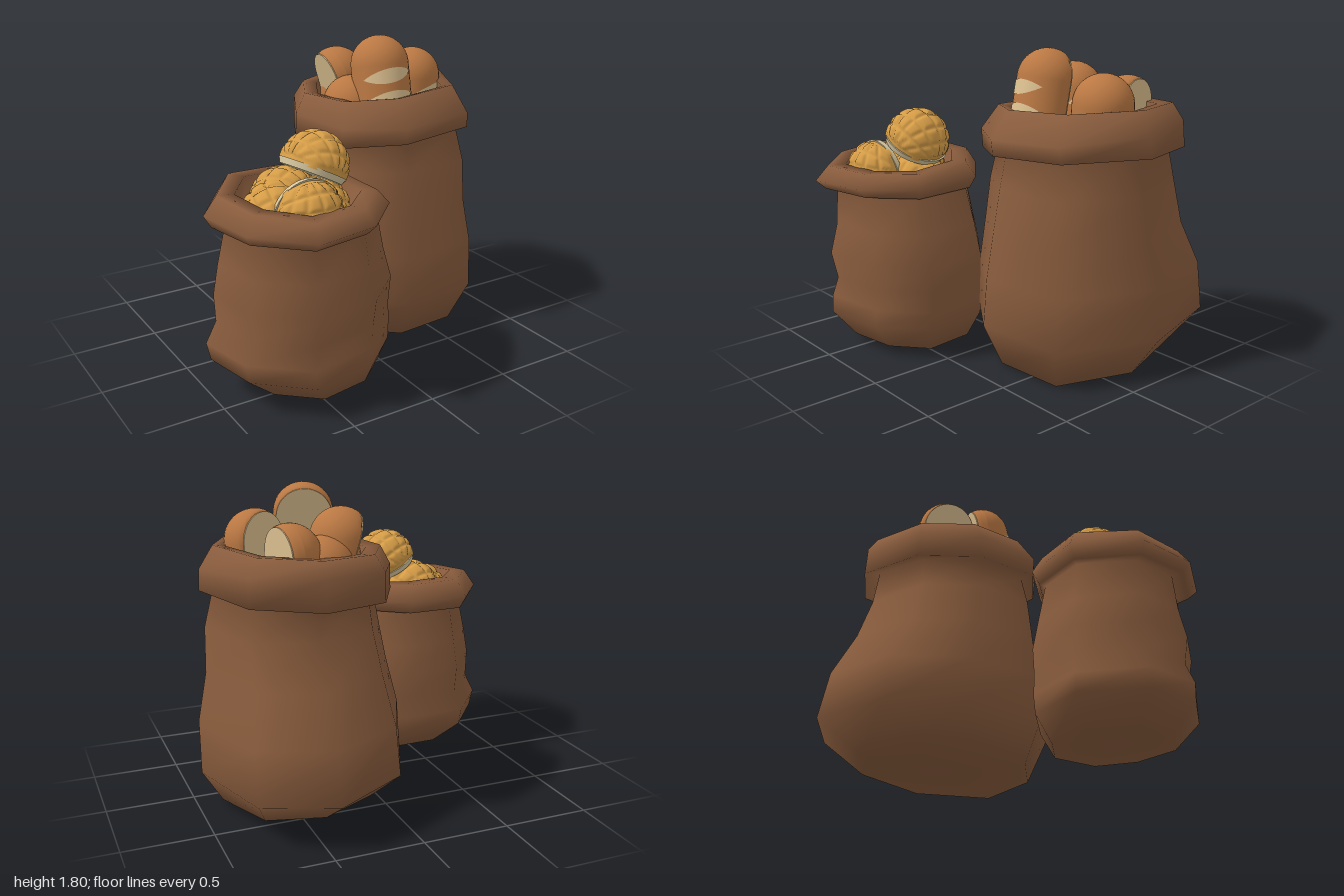
import * as THREE from 'three';

const mat = (name, color, side = THREE.FrontSide) => {
  const m = new THREE.MeshStandardMaterial({ color, side });
  m.name = name;
  return m;
};
const V = (a) => new THREE.Vector3(...a);

// Sack skin lofted through rings [y, xMin, xMax, zMin, zMax, tiltX, tiltZ] of one outline
function sackGeometry(outline, rings) {
  const n = outline.length, pos = [], idx = [];
  for (const [y, x0, x1, z0, z1, tx = 0, tz = 0] of rings)
    for (const [u, w] of outline)
      pos.push((x0 + x1) / 2 + u * (x1 - x0) / 2, y + tx * u + tz * w, (z0 + z1) / 2 + w * (z1 - z0) / 2);
  for (let i = 0; i < rings.length - 1; i++)
    for (let j = 0; j < n; j++) {
      const k = (j + 1) % n, a = i * n + j, b = i * n + k;
      idx.push(a, a + n, b, b, a + n, b + n);
    }
  // underside and inner floor
  const last = (rings.length - 1) * n, c = rings.length * n;
  for (const r of [rings[0], rings[rings.length - 1]])
    pos.push((r[1] + r[2]) / 2, r[0], (r[3] + r[4]) / 2);
  for (let j = 0; j < n; j++) {
    const k = (j + 1) % n;
    idx.push(c, j, k, c + 1, last + k, last + j);
  }
  const g = new THREE.BufferGeometry();
  g.setAttribute('position', new THREE.Float32BufferAttribute(pos, 3));
  g.setIndex(idx);
  g.computeVertexNormals();
  return g;
}

// Apply a rule to every vertex
function warp(g, rule) {
  const p = g.attributes.position, v = new THREE.Vector3();
  for (let i = 0; i < p.count; i++) {
    rule(v.fromBufferAttribute(p, i));
    p.setXYZ(i, v.x, v.y, v.z);
  }
  g.computeVertexNormals();
  return g;
}

// Stand a part at a place with its local y along axis and local z towards out
function place(part, at, axis, out) {
  const y = V(axis).normalize(), x = new THREE.Vector3().crossVectors(y, V(out)).normalize();
  const z = new THREE.Vector3().crossVectors(x, y);
  part.setRotationFromMatrix(new THREE.Matrix4().makeBasis(x, y, z));
  part.position.set(...at);
  return part;
}

export function createModel() {
  const root = new THREE.Group();
  const burlap = mat('burlap brown', 0x895c3d);
  const crust = mat('loaf crust', 0xba7843);
  const crumb = mat('loaf crumb', 0xdcc090, THREE.DoubleSide);
  const sugar = mat('bun topping', 0xd69d47);
  const bunBase = mat('bun base', 0xd8c8a0);
  const add = (parent, name, g, m) => {
    const mesh = new THREE.Mesh(g, m);
    mesh.name = name;
    parent.add(mesh);
    return mesh;
  };

  // Sacks with rolled rims
  const largeOutline = [[0.05, -1], [0.72, -0.74], [1, 0.08], [0.6, 0.9], [-0.28, 1], [-0.86, 0.66], [-1, -0.07], [-0.68, -0.68]];
  add(root, 'largeSack', sackGeometry(largeOutline, [
    [0.045, -0.05, 0.86, -0.68, 0.32, -0.02, -0.035],
    [0.26, -0.17, 0.99, -0.95, 0.43, -0.02, 0],
    [0.54, -0.16, 0.99, -0.89, 0.41],
    [0.8, -0.11, 0.93, -0.75, 0.37],
    [1.05, -0.07, 0.92, -0.66, 0.34],
    [1.24, -0.04, 0.87, -0.63, 0.3, 0.02, -0.01],
    [1.23, -0.14, 0.95, -0.73, 0.36, 0.03, 0.01],
    [1.36, -0.14, 0.94, -0.72, 0.37, 0.02, -0.03],
    [1.48, -0.07, 0.87, -0.66, 0.26, 0.025, 0.005],
    [1.47, 0.01, 0.8, -0.57, 0.2, 0.025, 0],
    [1.16, 0.03, 0.8, -0.56, 0.2],
  ]), burlap);
  const smallOutline = [[-0.5, -0.97], [0.3, -1], [0.92, -0.52], [1, 0.36], [0.48, 0.86], [-0.3, 1], [-0.86, 0.45], [-1, -0.3]];
  add(root, 'smallSack', sackGeometry(smallOutline, [
    [0.06, -0.8, -0.07, 0.12, 0.78],
    [0.2, -0.98, -0.02, 0.0, 0.88],
    [0.3, -1.0, -0.01, -0.01, 0.87],
    [0.42, -0.94, -0.01, 0.01, 0.85],
    [0.58, -0.95, -0.01, 0.0, 0.885],
    [0.75, -0.92, -0.05, 0.03, 0.84],
    [0.97, -0.88, -0.1, 0.07, 0.83],
    [0.965, -0.95, -0.09, 0.02, 0.88],
    [1.03, -0.99, -0.05, -0.02, 0.94, 0, -0.01],
    [1.12, -0.92, -0.11, 0.04, 0.87, -0.01, -0.02],
    [1.12, -0.83, -0.19, 0.14, 0.77, -0.01, -0.02],
    [0.93, -0.83, -0.19, 0.14, 0.77],
  ]), burlap);

  // Loaves: rounded crust, flat cut face behind, leaf-shaped scores in front
  const R = 0.17, CUT = -0.06;
  const loafG = warp(new THREE.CapsuleGeometry(R, 0.24, 12, 32, 6), (v) => { v.z = Math.max(v.z, CUT); });
  const outline = new THREE.Shape();
  outline.absarc(0, 0.12, 0.155, 0, Math.PI);
  outline.absarc(0, -0.12, 0.155, Math.PI, Math.PI * 2);
  const cutG = new THREE.ExtrudeGeometry(outline, { depth: 0.006, bevelEnabled: false, curveSegments: 16 });
  cutG.translate(0, 0, CUT - 0.006);
  const scoreG = warp(new THREE.PlaneGeometry(2, 2, 16, 2), (v) => {
    const t = v.x * 0.95, y = v.y * 0.042 * (1 - v.x * v.x) + v.x * 0.015;
    v.set(Math.sin(t) * (R + 0.003), y, Math.cos(t) * (R + 0.003));
  });
  const loaves = [
    [[0.3, 1.51, 0.03], [0, 0.98, -0.2], [-0.25, 0, 1]],
    [[0.23, 1.41, -0.3], [-0.3, 0.95, 0], [1, 0, 0.1]],
    [[0.52, 1.35, -0.38], [0, 0.96, -0.22], [-1, 0, 0.2]],
    [[0.61, 1.39, -0.11], [0.06, 0.98, 0], [0.5, 0, 0.85]],
    [[0.2, 1.27, -0.1], [-0.2, 0.97, 0], [-0.8, 0, 0.5]],
    [[0.33, 1.27, -0.38], [0, 1, -0.1], [-0.4, 0, -0.8]],
  ];
  for (const [at, axis, out] of loaves) {
    const loaf = new THREE.Group();
    loaf.name = 'loaf';
    add(loaf, 'loafCrust', loafG, crust);
    add(loaf, 'loafCutFace', cutG, crumb);
    for (const y of [0.055, -0.075]) add(loaf, 'loafScore', scoreG, crumb).position.y = y;
    root.add(place(loaf, at, axis, out));
  }

  // Sweet buns: dome of raised tiles between crossing grooves, on a pale flat base
  const domeG = warp(new THREE.SphereGeometry(0.19, 96, 40, 0, Math.PI * 2, 0, Math.PI * 0.55), (v) => {
    const line = (a) => Math.pow(Math.abs(Math.cos(a * 7.5)), 10);
    const h = Math.max(v.y, 0) + 0.06;
    const groove = Math.max(line(Math.atan2(v.x, h)), line(Math.atan2(v.z, h)));
    v.multiplyScalar(1 - 0.06 * groove);
  });
  const baseG = new THREE.CylinderGeometry(0.188, 0.175, 0.035, 40);
  const buns = [
    [[-0.385, 1.235, 0.41], [0.46, 0.87, -0.1], [0.2, 0, 1]],
    [[-0.53, 1.04, 0.34], [-0.15, 0.95, -0.25], [0.5, 0, 1]],
    [[-0.53, 1.05, 0.59], [0, -0.22, 0.97], [0, 1, 0.2]],
    [[-0.63, 1.0, 0.43], [-0.3, 0.95, 0.1], [-0.3, 0, 1]],
    [[-0.38, 0.98, 0.42], [0.1, 0.98, 0], [0.3, 0, 1]],
  ];
  for (const [at, axis, out] of buns) {
    const bun = new THREE.Group();
    bun.name = 'bun';
    add(bun, 'bunTopping', domeG, sugar);
    add(bun, 'bunBase', baseG, bunBase).position.y = -0.035;
    root.add(place(bun, at, axis, out));
  }
  return root;
}
